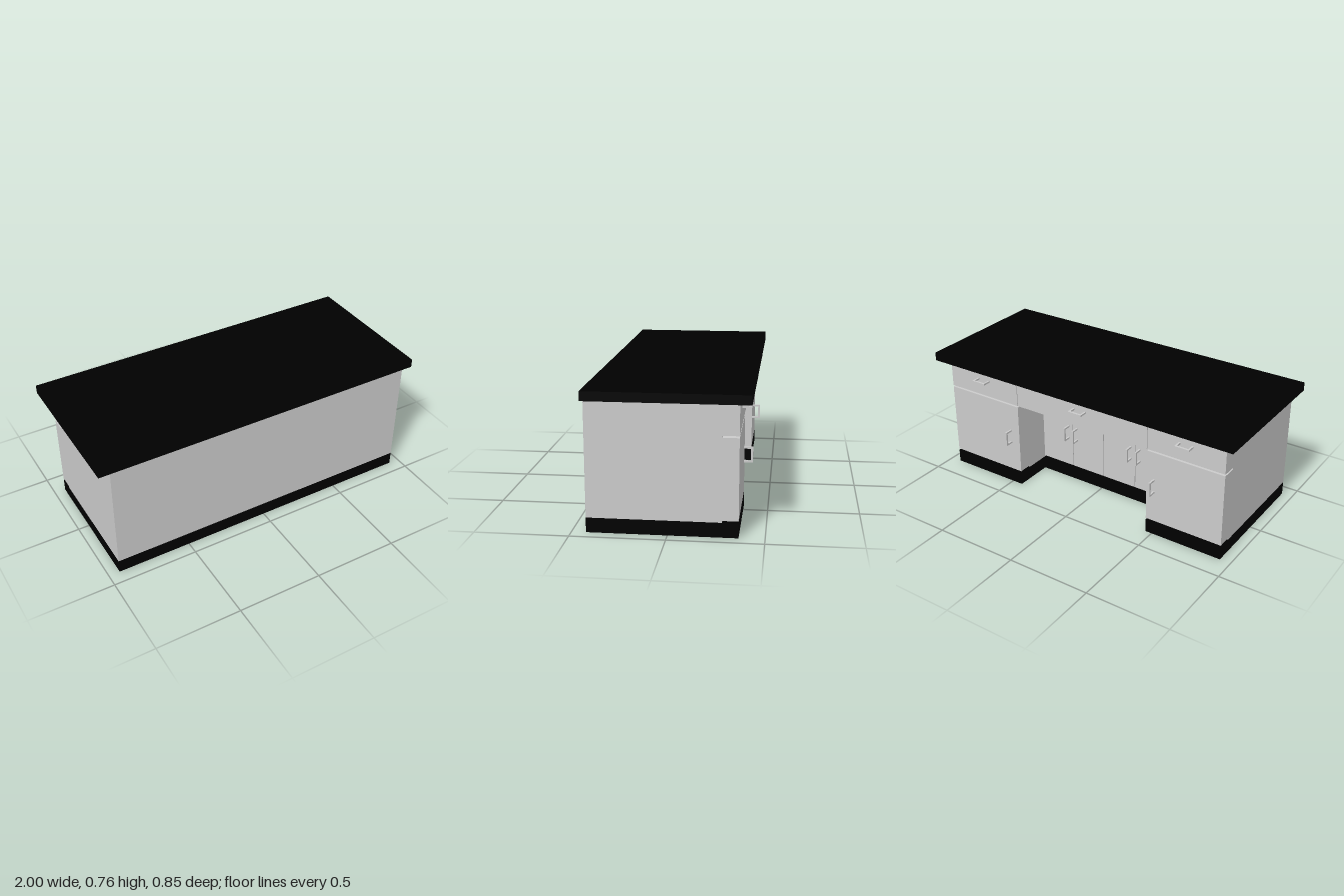
import * as THREE from 'three';

const grey = new THREE.MeshStandardMaterial({ color: 0xcccccc });
const black = new THREE.MeshStandardMaterial({ color: 0x000000 });

const HALF = 0.935;                   // half width of the cabinets
const INNER_L = 0.433, INNER_R = -0.46; // sides of the knee recess
const FACE = -0.365, RECESS = -0.13;  // planes of the outer and recessed fronts
const DEPTH = 0.085;                  // thickness of doors and drawers
const FRONT = 0.424;
const GAP = 0.002;                    // half of the seam between fronts

// Box given by its limits
function box(name, x0, x1, y0, y1, z0, z1, material = grey) {
  const mesh = new THREE.Mesh(new THREE.BoxGeometry(x1 - x0, y1 - y0, z1 - z0), material);
  mesh.position.set((x0 + x1) / 2, (y0 + y1) / 2, (z0 + z1) / 2);
  mesh.name = name;
  return mesh;
}

// U-shaped plan with a recess on the back, extruded upwards
function uBlock(name, zOuter, zRecess, y0, y1, material) {
  const plan = [
    [-HALF, FRONT], [HALF, FRONT], [HALF, zOuter], [INNER_L, zOuter],
    [INNER_L, zRecess], [INNER_R, zRecess], [INNER_R, zOuter], [-HALF, zOuter],
  ];
  const shape = new THREE.Shape(plan.map(([x, z]) => new THREE.Vector2(x, -z)));
  const geometry = new THREE.ExtrudeGeometry(shape, { depth: y1 - y0, bevelEnabled: false });
  geometry.rotateX(-Math.PI / 2);
  const mesh = new THREE.Mesh(geometry, material);
  mesh.position.y = y0;
  mesh.name = name;
  return mesh;
}

// Square bracket pull standing out towards -z
function pull(name, x, y, z, vertical) {
  const group = new THREE.Group();
  const half = 0.044, t = 0.01, out = 0.05;
  for (const side of [-1, 1]) {
    const c = side * (half - t / 2);
    group.add(box('post', c - t / 2, c + t / 2, -t / 2, t / 2, -out + 0.012, 0));
  }
  group.add(box('bar', -half, half, -t / 2, t / 2, -out, -out + 0.012));
  if (vertical) group.rotation.z = Math.PI / 2;
  group.position.set(x, y, z);
  group.name = name;
  return group;
}

export function createModel() {
  const model = new THREE.Group();
  model.name = 'kitchenIsland';

  // Worktop, plinth and carcass
  model.add(box('worktop', -1, 1, 0.71, 0.76, -0.427, 0.427, black));
  model.add(uBlock('plinth', FACE, RECESS, 0, 0.08, black));
  model.add(uBlock('carcass', FACE + DEPTH, RECESS + DEPTH, 0.08, 0.71, grey));

  // Drawers, the middle one bridging the recess
  const drawers = [[-HALF, INNER_R - GAP], [INNER_R + GAP, INNER_L - GAP], [INNER_L + GAP, HALF]];
  drawers.forEach(([x0, x1], i) => {
    const back = i === 1 ? RECESS + DEPTH : FACE + DEPTH;
    model.add(box('drawer', x0, x1, 0.537, 0.71, FACE, back));
    model.add(pull('drawerPull', (x0 + x1) / 2, 0.637, FACE, false));
  });

  // Outer doors
  model.add(box('outerDoor', INNER_L, HALF, 0.09, 0.527, FACE, FACE + DEPTH));
  model.add(box('outerDoor', -HALF, INNER_R, 0.09, 0.527, FACE, FACE + DEPTH));
  model.add(pull('doorPull', 0.495, 0.316, FACE, true));
  model.add(pull('doorPull', -0.507, 0.316, FACE, true));

  // Four recessed doors in two pairs, pulls at the meeting edges
  const width = (INNER_L - INNER_R) / 4;
  for (let i = 0; i < 4; i++) {
    const x0 = INNER_R + i * width, x1 = x0 + width;
    model.add(box('recessDoor', x0 + GAP, x1 - GAP, 0.09, 0.527, RECESS, RECESS + DEPTH));
    model.add(pull('doorPull', i % 2 ? x0 + 0.031 : x1 - 0.031, 0.316, RECESS, true));
  }
  return model;
}
